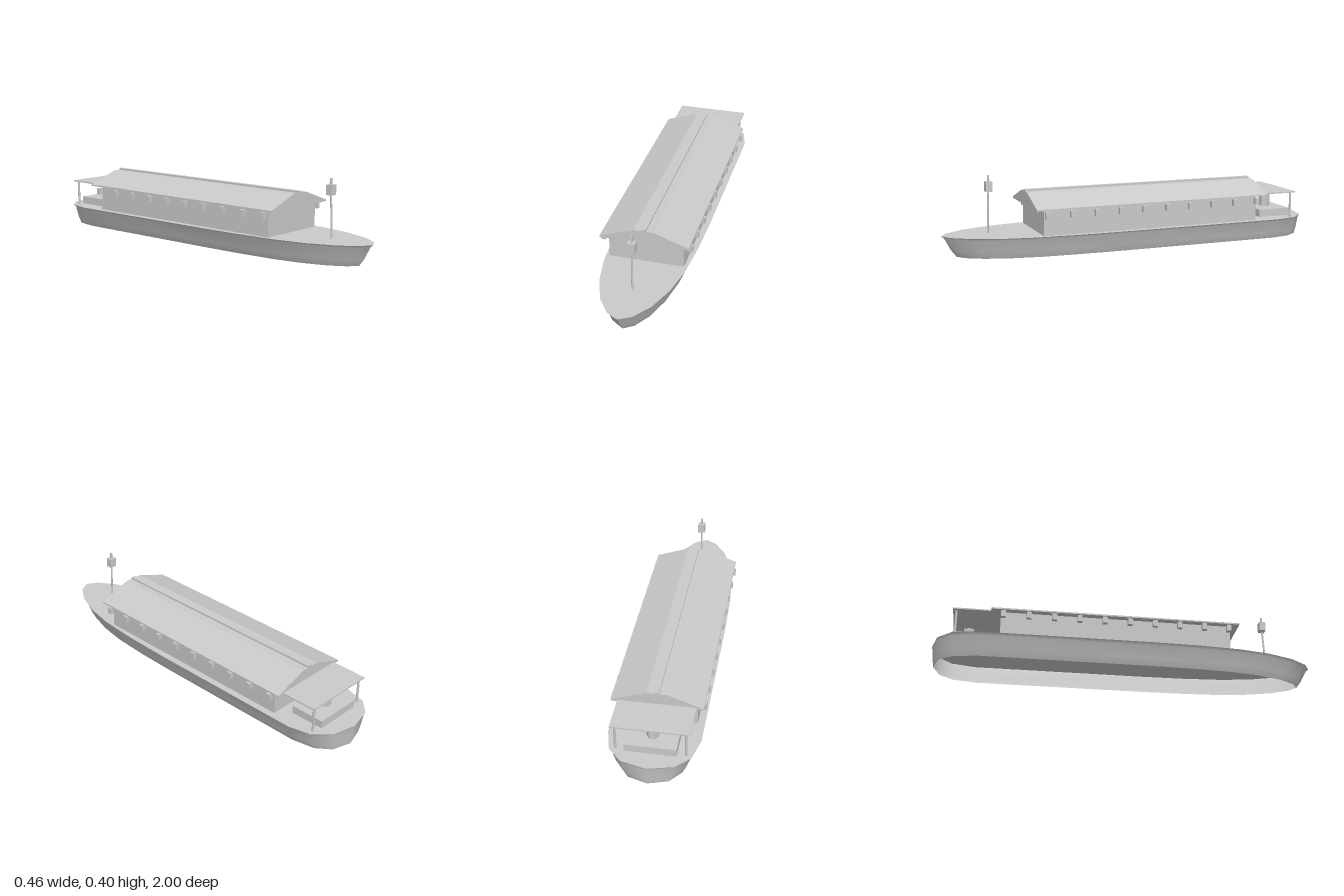
import * as THREE from 'three';

const grey = new THREE.MeshStandardMaterial({ color: 0xcacaca, side: THREE.DoubleSide });
grey.name = 'plain grey';

// Half outline of the deck edge, bow to stern: [x, z]
const half = [[0, 1], [0.06, 0.965], [0.125, 0.87], [0.175, 0.73], [0.205, 0.57], [0.22, 0.35], [0.225, 0.1],
  [0.225, -0.5], [0.225, -0.78], [0.195, -0.9], [0.125, -0.97], [0, -1]];
// Full outline, starting and ending at the bow so that the stem stays sharp
const outline = [...half, ...half.slice(0, -1).reverse().map(([x, z]) => [-x, z])];

// Hull levels: height, width scale, bow scale, stern scale
const levels = [[0, 0.78, 0.925, 0.985], [0.035, 0.855, 0.952, 0.99], [0.098, 0.938, 0.985, 0.996], [0.11, 1, 1, 1]];

// Side shell of the hull, open at the bottom
function shellGeometry() {
  const n = outline.length, pos = [], index = [];
  for (const [y, sx, bow, stern] of levels)
    for (const [x, z] of outline) pos.push(x * sx, y, z * (z > 0 ? bow : stern));
  for (let k = 0; k < levels.length - 1; k++)
    for (let i = 0; i < n - 1; i++) {
      const a = k * n + i, b = a + 1;
      index.push(a, b, a + n, b, b + n, a + n);
    }
  const g = new THREE.BufferGeometry();
  g.setAttribute('position', new THREE.Float32BufferAttribute(pos, 3));
  g.setIndex(index);
  g.computeVertexNormals();
  return g;
}

export function createModel() {
  const model = new THREE.Group();
  model.name = 'riverBoat';

  const add = (name, geometry) => {
    const mesh = new THREE.Mesh(geometry, grey);
    mesh.name = name;
    model.add(mesh);
    return mesh;
  };
  // Box given by its limits
  const box = (name, x0, x1, y0, y1, z0, z1) =>
    add(name, new THREE.BoxGeometry(x1 - x0, y1 - y0, z1 - z0))
      .position.set((x0 + x1) / 2, (y0 + y1) / 2, (z0 + z1) / 2);

  add('hullShell', shellGeometry());
  const deckShape = new THREE.Shape(outline.slice(0, -1).map(([x, z]) => new THREE.Vector2(x, -z)));
  add('deck', new THREE.ShapeGeometry(deckShape).rotateX(-Math.PI / 2)).position.y = 0.11;

  box('cabin', -0.19, 0.19, 0.11, 0.243, -0.66, 0.525);

  // Gabled roof section swept along the cabin
  const section = new THREE.Shape([[-0.224, 0.242], [0.224, 0.242], [0.224, 0.25], [0.05, 0.312],
    [-0.05, 0.312], [-0.224, 0.25]].map(([x, y]) => new THREE.Vector2(x, y)));
  add('roof', new THREE.ExtrudeGeometry(section, { depth: 1.28, bevelEnabled: false })).position.z = -0.71;
  box('roofRidge', -0.012, 0.012, 0.31, 0.321, -0.71, 0.57);

  // Stern canopy on two posts
  box('sternCanopy', -0.19, 0.19, 0.245, 0.252, -0.9, -0.66);
  for (const s of [-1, 1])
    add('canopyPost', new THREE.CylinderGeometry(0.006, 0.006, 0.136, 8)).position.set(s * 0.168, 0.178, -0.883);

  // Stern hatch and capstan
  box('sternHatch', -0.125, 0.125, 0.11, 0.15, -0.9, -0.72);
  const capstan = add('capstan', new THREE.CylinderGeometry(0.03, 0.03, 0.07, 6).toNonIndexed());
  capstan.geometry.computeVertexNormals();
  capstan.rotation.y = Math.PI / 6;
  capstan.position.set(0, 0.184, -0.817);

  // Rows of lanterns under the eaves
  for (const s of [-1, 1])
    for (let i = 0; i < 10; i++) {
      const z = 0.513 - i * 0.129;
      box('eaveLantern', s * 0.219 - 0.011, s * 0.219 + 0.011, 0.201, 0.235, z - 0.012, z + 0.012);
    }

  // Slightly bent bow mast with a lantern on top
  const bend = new THREE.CatmullRomCurve3([new THREE.Vector3(0, 0.11, 0.763),
    new THREE.Vector3(0, 0.22, 0.76), new THREE.Vector3(0, 0.33, 0.755)]);
  add('bowMast', new THREE.TubeGeometry(bend, 6, 0.005, 8));
  box('mastLantern', -0.019, 0.019, 0.321, 0.371, 0.738, 0.772);
  box('lanternTip', -0.005, 0.005, 0.371, 0.402, 0.75, 0.76);

  return model;
}
